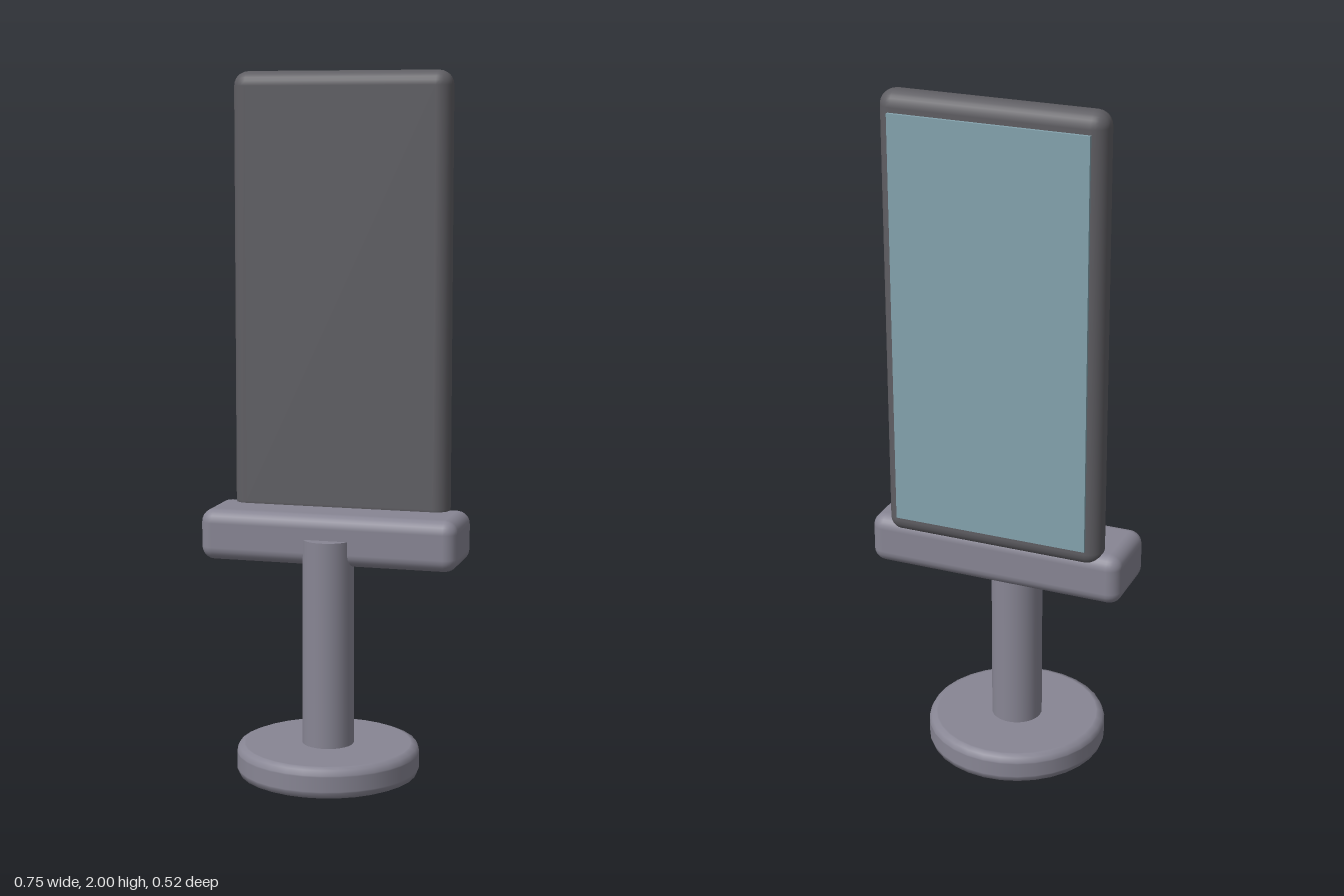
import * as THREE from 'three';
import { RoundedBoxGeometry } from 'three/addons/geometries/RoundedBoxGeometry.js';

const material = (name, color) => {
  const m = new THREE.MeshStandardMaterial({ color });
  m.name = name;
  return m;
};

export function createModel() {
  const group = new THREE.Group();
  group.name = 'displayStand';
  const grey = material('standGrey', 0x888694);
  const dark = material('casingGrey', 0x5f5e63);
  const blue = material('screenBlue', 0x84a3ae);

  const add = (name, geometry, mat, x, y, z) => {
    const mesh = new THREE.Mesh(geometry, mat);
    mesh.name = name;
    mesh.position.set(x, y, z);
    group.add(mesh);
  };

  // round foot with softened rims and a socket underneath
  const profile = [
    [0.07, 0.06], [0.07, 0.002], [0.072, 0], [0.238, 0], [0.242, 0],
    [0.256, 0.006], [0.262, 0.02], [0.262, 0.024],
    [0.262, 0.066], [0.262, 0.07], [0.256, 0.084], [0.242, 0.09], [0.238, 0.09], [0.05, 0.09],
  ].map(([r, y]) => new THREE.Vector2(r, y));
  add('foot', new THREE.LatheGeometry(profile, 32), grey, 0, 0, 0);

  // post, reaching into the foot and the cradle
  const bottom = 0.04, top = 0.685;
  add('post', new THREE.CylinderGeometry(0.074, 0.074, top - bottom, 32), grey, 0, (top + bottom) / 2, 0);

  // cradle block that holds the panel
  add('cradle', new RoundedBoxGeometry(0.754, 0.147, 0.225, 3, 0.038), grey, 0, 0.682, -0.0775);

  // upright panel, with the screen on its back face
  add('panel', new RoundedBoxGeometry(0.64, 1.28, 0.09, 3, 0.042), dark, 0, 1.36, -0.1525);
  add('screen', new THREE.BoxGeometry(0.565, 1.17, 0.009), blue, 0, 1.36, -0.2035);

  return group;
}
